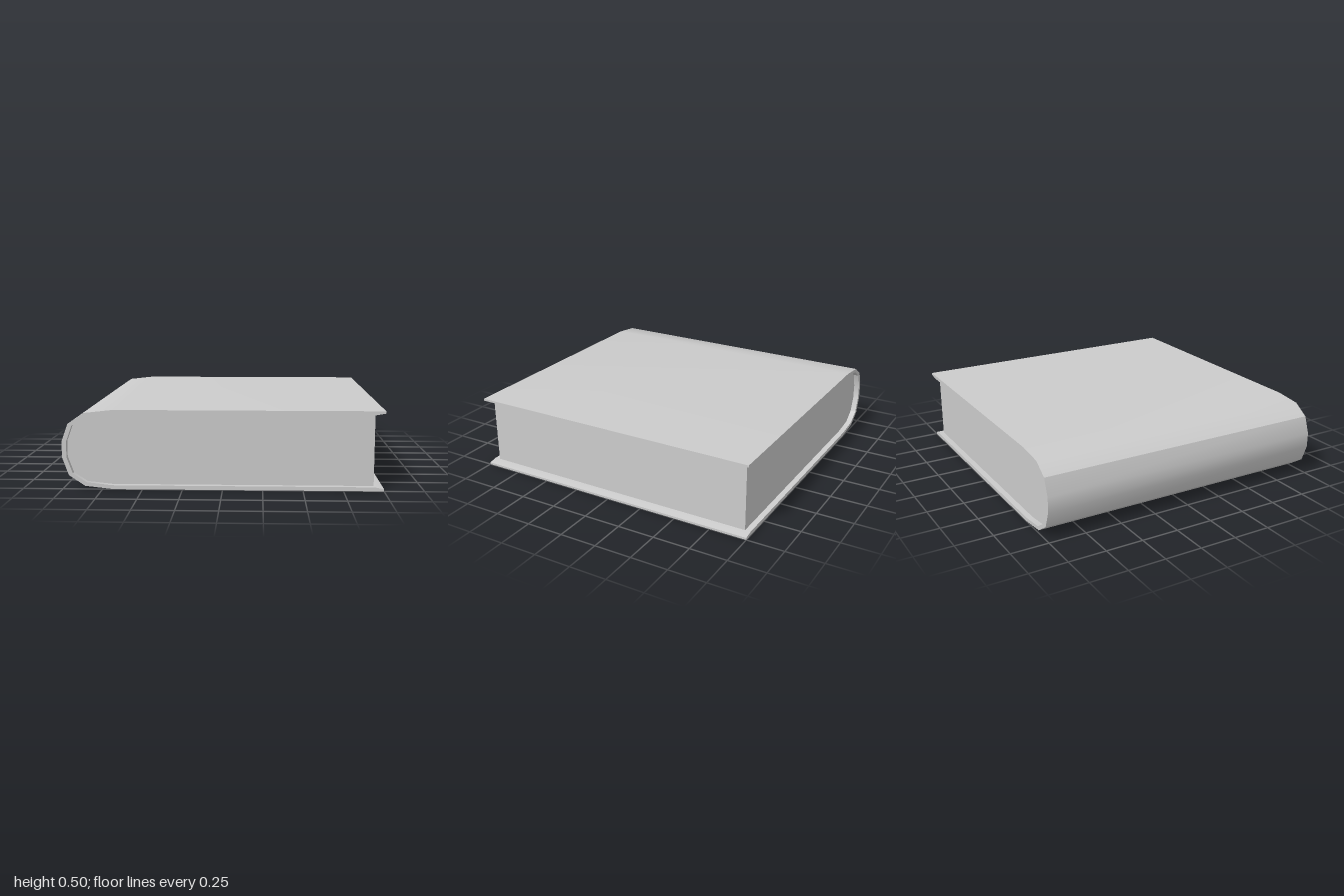
import * as THREE from 'three';
import { toCreasedNormals } from 'three/addons/utils/BufferGeometryUtils.js';

const HEIGHT = 0.5;

// Mirror the upper half of a profile about mid-height, giving the full C-shaped run
const mirrored = (half) => [
  ...half,
  ...half.slice().reverse().map(([x, y]) => [x, HEIGHT - y]),
];

// Extrude an outline along z, centred on z = 0
function slab(name, points, depth) {
  const shape = new THREE.Shape(points.map(([x, y]) => new THREE.Vector2(x, y)));
  const geometry = new THREE.ExtrudeGeometry(shape, { depth, bevelEnabled: false });
  geometry.translate(0, 0, -depth / 2);
  const mesh = new THREE.Mesh(
    toCreasedNormals(geometry, THREE.MathUtils.degToRad(31)),
    new THREE.MeshStandardMaterial({ color: 0xcccccc }),
  );
  mesh.name = name;
  return mesh;
}

export function createModel() {
  const book = new THREE.Group();
  book.name = 'book';

  // Outer and inner faces of the cover, from the fore edge round the spine
  const outer = mirrored([[1, 0.5], [-0.68, 0.5], [-0.86, 0.48], [-0.96, 0.412], [-1, 0.3]]);
  const inner = mirrored([[0.94, 0.475], [-0.69, 0.475], [-0.85, 0.457], [-0.935, 0.4], [-0.972, 0.3]]);

  // Cover: one wrapped board, its lips thinning towards the fore edge
  const lipTop = [1, 0.486];
  const lipBottom = [1, HEIGHT - 0.486];
  book.add(slab('cover', [...outer, lipBottom, ...inner.slice().reverse(), lipTop], 2));

  // Page block: fills the cover, set back from its three open edges
  book.add(slab('pages', inner, 1.925));

  return book;
}
